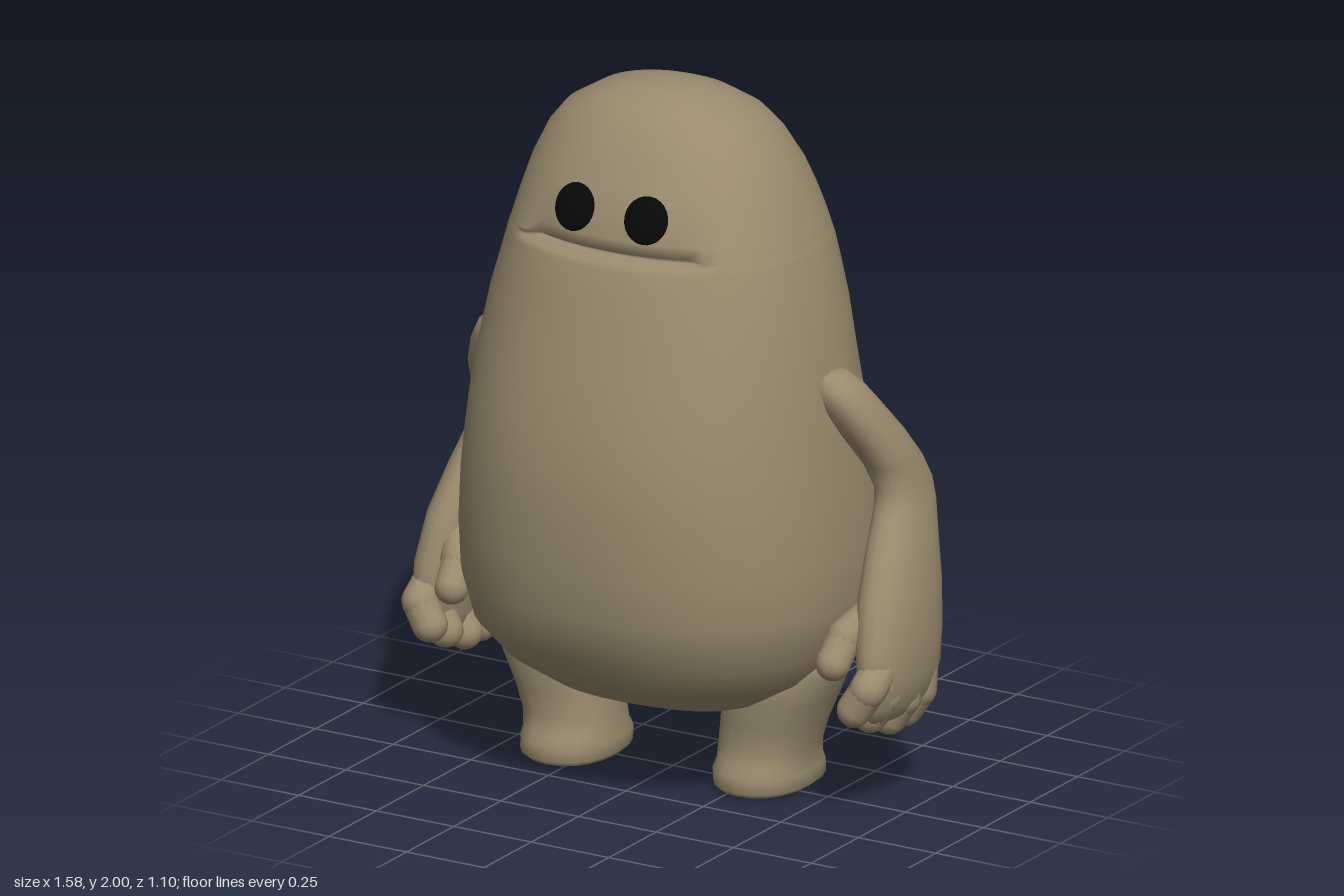
import * as THREE from 'three';

const skin = new THREE.MeshStandardMaterial({ color: 0x9a8b6e });
skin.name = 'clay skin';
const black = new THREE.MeshStandardMaterial({ color: 0x080808 });
black.name = 'eye black';

function mesh(name, geometry, material = skin) {
  const m = new THREE.Mesh(geometry, material);
  m.name = name;
  return m;
}

// Slightly squared-off sine or cosine
const squared = (v) => Math.sign(v) * Math.abs(v) ** 0.89;

// Closed skin over horizontal oval rings, bottom to top.
// Ring: [y, xMin, xMax, zBack, zFront, dent]; zMid is where the oval is widest.
function loft(rings, seg, zMid, endDrop = 0.005) {
  const pos = [], idx = [];
  for (const [y, x0, x1, zb, zf, dent = 0] of rings) {
    const cx = (x0 + x1) / 2, rx = Math.abs(x1 - x0) / 2, cz = zMid ?? (zb + zf) / 2;
    for (let j = 0; j < seg; j++) {
      const a = (j / seg) * Math.PI * 2, c = squared(Math.cos(a));
      const x = cx + rx * squared(Math.sin(a));
      let z = cz + c * (c > 0 ? zf - cz : cz - zb);
      // the dent fades out towards the corners of the mouth
      if (c > 0) z -= dent * (1 - THREE.MathUtils.smoothstep(Math.abs(x), 0.23, 0.3));
      pos.push(x, y, z);
    }
  }
  for (let i = 0; i < rings.length - 1; i++) {
    for (let j = 0; j < seg; j++) {
      const k = (j + 1) % seg, a = i * seg + j, b = i * seg + k;
      idx.push(a, b, b + seg, a, b + seg, a + seg);
    }
  }
  // end caps
  [[0, -1], [rings.length - 1, 1]].forEach(([i, dir]) => {
    const [y, x0, x1, zb, zf] = rings[i];
    const centre = pos.length / 3;
    pos.push((x0 + x1) / 2, y + dir * endDrop, (zb + zf) / 2);
    for (let j = 0; j < seg; j++) {
      const a = i * seg + j, b = i * seg + ((j + 1) % seg);
      if (dir > 0) idx.push(a, b, centre);
      else idx.push(b, a, centre);
    }
  });
  const g = new THREE.BufferGeometry();
  g.setAttribute('position', new THREE.Float32BufferAttribute(pos, 3));
  g.setIndex(idx);
  g.computeVertexNormals();
  return g;
}

// Rounded rod between two points
function rod(name, from, to, r) {
  const a = new THREE.Vector3(...from), b = new THREE.Vector3(...to);
  const dir = b.clone().sub(a);
  const m = mesh(name, new THREE.CapsuleGeometry(r, dir.length(), 5, 12));
  m.position.copy(a).lerp(b, 0.5);
  m.quaternion.setFromUnitVectors(new THREE.Vector3(0, 1, 0), dir.normalize());
  return m;
}

// Body: [y, half width, zBack, zFront, dent]
function createBody() {
  const profile = [
    [0.205, 0.14, -0.24, 0.06],
    [0.225, 0.25, -0.32, 0.16],
    [0.27, 0.36, -0.40, 0.28],
    [0.35, 0.475, -0.47, 0.40],
    [0.45, 0.55, -0.525, 0.49],
    [0.58, 0.58, -0.55, 0.53],
    [0.72, 0.583, -0.545, 0.545],
    [0.88, 0.573, -0.505, 0.55],
    [1.0, 0.56, -0.46, 0.543],
    [1.12, 0.547, -0.415, 0.525],
    [1.25, 0.528, -0.392, 0.495],
    [1.4, 0.5, -0.387, 0.455],
    [1.5, 0.473, -0.384, 0.425],
    [1.568, 0.455, -0.38, 0.402],
    [1.584, 0.449, -0.3785, 0.396, 0.006],
    [1.592, 0.446, -0.3775, 0.392, 0.06],
    [1.6, 0.443, -0.3765, 0.389, 0.065],
    [1.608, 0.441, -0.3753, 0.385, 0.027],
    [1.64, 0.43, -0.3705, 0.37, 0.02],
    [1.7, 0.408, -0.358, 0.342, 0.004],
    [1.77, 0.38, -0.336, 0.302],
    [1.85, 0.337, -0.293, 0.252],
    [1.91, 0.285, -0.245, 0.21],
    [1.96, 0.20, -0.17, 0.155],
    [1.988, 0.105, -0.09, 0.085],
  ];
  // the crown leans slightly to one side
  const lean = (y) => -0.03 * THREE.MathUtils.smoothstep(y, 1.5, 2);
  const rings = profile.map(([y, w, zb, zf, d]) => [y, lean(y) - w, lean(y) + w, zb, zf, d]);
  return mesh('body', loft(rings, 48, 0, 0.012));
}

// Legs stand a little apart in z, the right one forward
function createLeg(s) {
  const rings = [
    [0.005, 0.175, 0.415, 0.165],
    [0.02, 0.16, 0.435, 0.18],
    [0.06, 0.158, 0.435, 0.178],
    [0.085, 0.165, 0.432, 0.16],
    [0.13, 0.165, 0.44, 0.145],
    [0.2, 0.172, 0.462, 0.15],
    [0.28, 0.18, 0.497, 0.162],
    [0.36, 0.18, 0.532, 0.16],
    [0.45, 0.2, 0.553, 0.12],
  ].map(([y, a, b, r]) => [y, s * a, s * b, -r - s * 0.022, r - s * 0.022]);
  return mesh('leg', loft(rings, 20));
}

function createArm(s) {
  const arm = new THREE.Group();
  // upper arm leans back to the elbow, forearm swings forward to the palm
  const rings = [
    [0.285, 0.67, 0.745, -0.14, 0.12],
    [0.33, 0.665, 0.772, -0.17, 0.15],
    [0.4, 0.65, 0.787, -0.197, 0.165],
    [0.5, 0.635, 0.788, -0.212, 0.155],
    [0.63, 0.615, 0.775, -0.23, 0.11],
    [0.76, 0.6, 0.745, -0.25, 0.03],
    [0.84, 0.59, 0.725, -0.265, -0.03],
    [0.9, 0.58, 0.712, -0.262, -0.055],
    [0.97, 0.56, 0.703, -0.228, -0.03],
    [1.06, 0.525, 0.682, -0.168, 0.027],
    [1.15, 0.48, 0.642, -0.108, 0.075],
    [1.21, 0.46, 0.605, -0.07, 0.09],
    [1.245, 0.46, 0.56, -0.04, 0.065],
  ].map(([y, a, b, zb, zf]) => [y, s * a, s * b, zb, zf]);
  arm.add(mesh('armAndPalm', loft(rings, 20, undefined, 0.012)));

  // four fingers curling inwards: [z at knuckle, z at tip, tip height]
  [[0.09, 0.155, 0.335], [0.035, 0.072, 0.295], [-0.045, -0.03, 0.26], [-0.125, -0.112, 0.26]]
    .forEach(([z, zt, y]) => {
      arm.add(rod('fingerBase', [s * 0.722, 0.44, z], [s * 0.722, y + 0.06, zt], 0.052));
      arm.add(rod('fingerTip', [s * 0.722, y + 0.06, zt], [s * 0.685, y, zt + 0.008], 0.05));
    });
  arm.add(rod('thumbBase', [s * 0.67, 0.58, 0.03], [s * 0.622, 0.52, 0.11], 0.052));
  arm.add(rod('thumbTip', [s * 0.622, 0.52, 0.11], [s * 0.615, 0.457, 0.162], 0.049));
  return arm;
}

// Shallow round eye lying on the sloped face
function createEye(s) {
  const eye = mesh('eye', new THREE.SphereGeometry(0.066, 24, 12), black);
  eye.scale.set(1, 1.03, 0.3);
  eye.rotation.set(-0.33, s * 0.12, 0);
  eye.position.set(s * 0.115, 1.708, 0.331);
  return eye;
}

export function createModel() {
  const model = new THREE.Group();
  model.name = 'creature';
  model.add(createBody());
  for (const [side, s] of [['left', 1], ['right', -1]]) {
    const parts = { Leg: createLeg(s), Arm: createArm(s), Eye: createEye(s) };
    for (const [part, object] of Object.entries(parts)) {
      object.name = side + part;
      model.add(object);
    }
  }
  return model;
}
